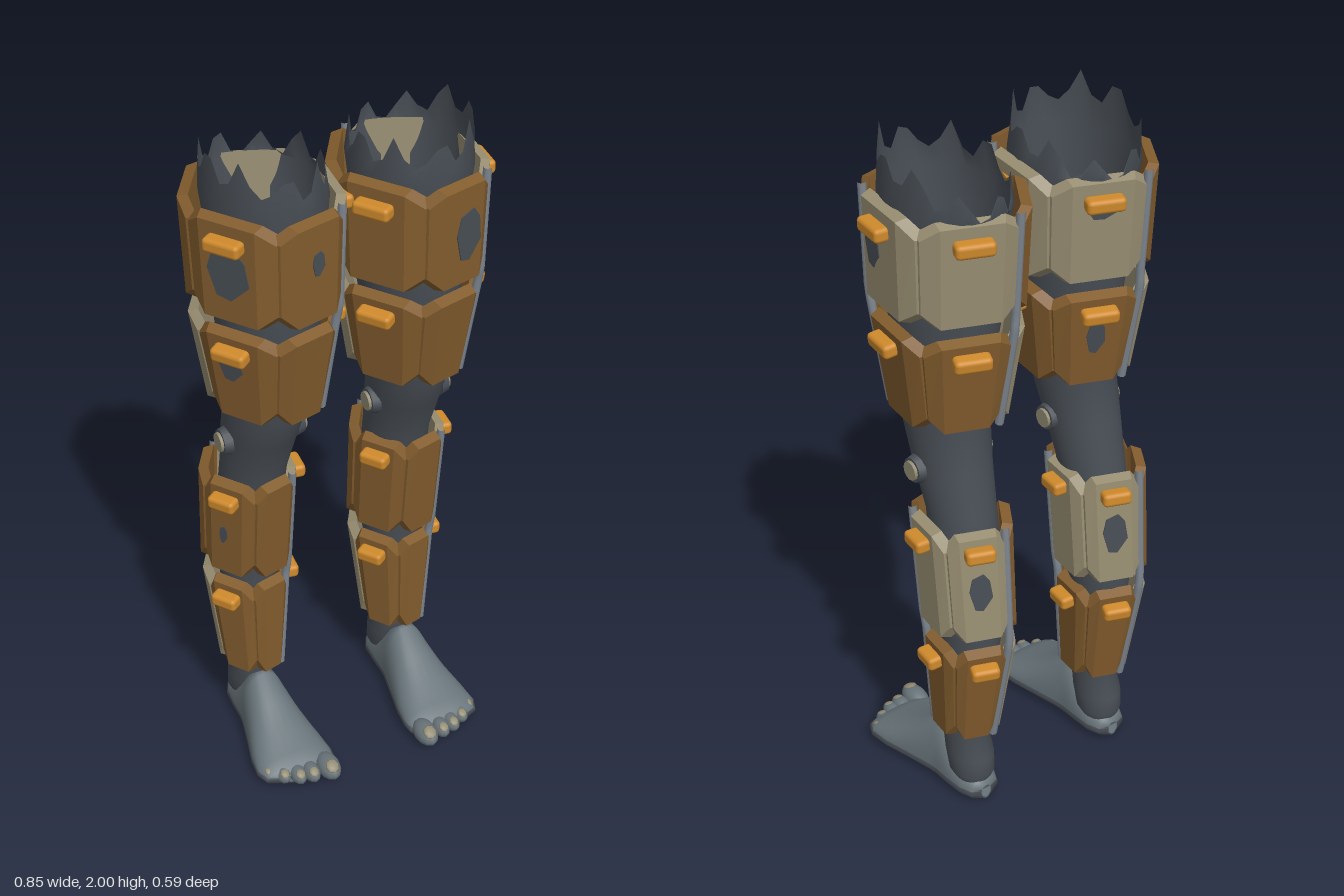
import * as THREE from 'three';
import { RoundedBoxGeometry } from 'three/addons/geometries/RoundedBoxGeometry.js';

const V = (x, y, z) => new THREE.Vector3(x, y, z);

// Armour outline: five corners (x, z) around a leg, and the four rings of plates.
const corners = [[0.19, -0.135], [0.155, 0.185], [-0.07, 0.243], [-0.237, 0.0], [-0.09, -0.24]];
const panelNames = ['RightPanel', 'FrontPanel', 'FrontLeftPanel', 'BackLeftPanel', 'BackPanel'];
const rings = [
  { name: 'upperThigh', y: [1.55, 1.85], x: 0.205, z: [-0.015, -0.02], s: [0.96, 1.01], clipY: 1.79, pale: [0, 4] },
  { name: 'lowerThigh', y: [1.22, 1.51], x: 0.207, z: [-0.02, -0.02], s: [0.73, 0.94], clipY: 1.46, pale: [3] },
  { name: 'upperCalf', y: [0.6, 0.94], x: 0.2325, z: [-0.14, -0.11], s: [0.6, 0.63], clipY: 0.89, pale: [0, 4] },
  { name: 'lowerCalf', y: [0.22, 0.56], x: 0.2325, z: [-0.12, -0.145], s: [0.42, 0.58], clipY: 0.51, pale: [3] },
];
// Worn spots: side, ring, panel, centre u, v, size u, v
const worn = [
  [1, 0, 1, 0.57, 0.5, 0.26, 0.36], [1, 0, 0, 0.38, 0.58, 0.16, 0.3], [-1, 0, 2, 0.5, 0.5, 0.3, 0.36],
  [-1, 0, 1, 0.5, 0.6, 0.12, 0.17], [-1, 0, 4, 0.5, 0.72, 0.2, 0.13], [-1, 1, 2, 0.45, 0.65, 0.2, 0.25],
  [-1, 1, 4, 0.5, 0.55, 0.15, 0.25], [1, 2, 4, 0.5, 0.48, 0.25, 0.24], [-1, 2, 4, 0.5, 0.48, 0.28, 0.26],
  [-1, 2, 2, 0.45, 0.45, 0.1, 0.13],
];
const octagon = [[0.2, 0], [0.8, 0], [0.97, 0.13], [0.97, 0.87], [0.8, 1], [0.2, 1], [0.03, 0.87], [0.03, 0.13]];
const blot = [[-0.6, -0.9], [0.1, -1], [0.45, -0.6], [1, -0.3], [0.8, 0.6], [0.3, 1], [-0.7, 0.8], [-1, 0.1]];

// Flat-shaded plate between two eight-point loops, each faced with three strips so it can bend
function plate(back, front) {
  const pos = [];
  const quad = (a, b, c, d) => [a, b, c, a, c, d].forEach(v => pos.push(v.x, v.y, v.z));
  for (let i = 0; i < 8; i++) {
    const j = (i + 1) % 8;
    quad(back[i], back[j], front[j], front[i]);
  }
  for (const [a, b, c, d] of [[0, 1, 4, 5], [1, 2, 3, 4], [5, 6, 7, 0]]) {
    quad(front[a], front[b], front[c], front[d]);
    quad(back[d], back[c], back[b], back[a]);
  }
  const g = new THREE.BufferGeometry();
  g.setAttribute('position', new THREE.Float32BufferAttribute(pos, 3));
  g.computeVertexNormals();
  return g;
}

// Smooth surface through closed loops of n points
function loft(loops) {
  const n = loops[0].length, pos = [], idx = [];
  loops.forEach(l => l.forEach(p => pos.push(p.x, p.y, p.z)));
  for (let r = 0; r < loops.length - 1; r++) for (let i = 0; i < n; i++) {
    const a = r * n + i, b = r * n + (i + 1) % n;
    idx.push(a, a + n, b, b, a + n, b + n);
  }
  const g = new THREE.BufferGeometry();
  g.setAttribute('position', new THREE.Float32BufferAttribute(pos, 3));
  g.setIndex(idx);
  g.computeVertexNormals();
  return g;
}

export function createModel() {
  const make = (name, color, side = THREE.FrontSide) => {
    const m = new THREE.MeshStandardMaterial({ color, side });
    m.name = name;
    return m;
  };
  const mat = {
    brown: make('brownPlate', 0x835d2e), pale: make('palePlate', 0x988e72), orange: make('orangeClip', 0xcf8a2c),
    dark: make('darkSkin', 0x484e55, THREE.DoubleSide), foot: make('greySkin', 0x68747a, THREE.DoubleSide),
    steel: make('steelRod', 0x7d858e), nail: make('nail', 0x918a72),
  };
  const model = new THREE.Group();
  const add = (parent, name, geo, m) => {
    const mesh = new THREE.Mesh(geo, m);
    mesh.name = name;
    parent.add(mesh);
    return mesh;
  };

  // Ring corner k at height fraction v, optionally drawn in towards the leg
  const corner = (ring, side, k, v, pull = 1) => {
    const mix = a => a[0] + (a[1] - a[0]) * v, s = mix(ring.s) * pull, c = corners[k % 5];
    return V(side * ring.x + c[0] * s, mix(ring.y), mix(ring.z) + c[1] * s);
  };

  function armour(side) {
    const group = new THREE.Group();
    group.name = side > 0 ? 'leftArmour' : 'rightArmour';
    rings.forEach((ring, r) => {
      for (let k = 0; k < 5; k++) {
        const at = (u, v) => corner(ring, side, k + 1, v).lerp(corner(ring, side, k, v), u);
        const across = at(1, 0.5).sub(at(0, 0.5)).normalize();
        const up = at(0.5, 1).sub(at(0.5, 0)).normalize();
        const out = across.clone().cross(up).normalize();
        // The sides of each plate bend in around the leg
        const bend = u => 0.034 * ring.s[1] * Math.max(0, Math.abs(u - 0.5) - 0.28) / 0.2;
        const place = (pts, d) => pts.map(([u, v]) => at(u, v).addScaledVector(out, d - bend(u)));
        const inner = octagon.map(([u, v]) => [0.5 + (u - 0.5) * 0.92, 0.5 + (v - 0.5) * 0.94]);
        add(group, ring.name + panelNames[k], plate(place(octagon, -0.018), place(inner, 0.009)),
          ring.pale.includes(k) ? mat.pale : mat.brown);
        // Worn spots
        worn.filter(w => w[0] === side && w[1] === r && w[2] === k).forEach(([, , , u, v, du, dv]) => {
          const pts = blot.map(p => [u + p[0] * du * 0.7, v + p[1] * dv * 0.7]);
          add(group, 'wornSpot', plate(place(pts, 0.006), place(pts, 0.012)), mat.dark);
        });
        // Clips on three of the five plates
        if (k === 0 || k === 2 || k === 4) {
          const v = (ring.clipY - ring.y[0]) / (ring.y[1] - ring.y[0]);
          const clip = add(group, 'clip', new RoundedBoxGeometry(0.045 + 0.06 * ring.s[1], 0.04, 0.045, 2, 0.012), mat.orange);
          clip.position.copy(at(0.5, v).addScaledVector(out, 0.024));
          clip.quaternion.setFromRotationMatrix(new THREE.Matrix4().makeBasis(across, out.clone().cross(across), out));
        }
      }
    });
    // Rods running down two opposite seams
    for (const k of [1, 4]) for (const r of [0, 2]) {
      const pts = [[r, 1], [r, 0], [r + 1, 1], [r + 1, 0]].map(([i, v]) => corner(rings[i], side, k, v, 0.88));
      const path = new THREE.CurvePath();
      for (let i = 0; i < 3; i++) path.add(new THREE.LineCurve3(pts[i], pts[i + 1]));
      add(group, 'seamRod', new THREE.TubeGeometry(path, 24, 0.012, 8), mat.steel);
    }
    return group;
  }

  // Leg profile: y, x, z, half width, half depth
  const legRows = [
    [0.055, 0.235, -0.165, 0.05, 0.05], [0.085, 0.235, -0.155, 0.064, 0.069], [0.14, 0.235, -0.145, 0.065, 0.078],
    [0.22, 0.235, -0.125, 0.06, 0.075], [0.4, 0.235, -0.14, 0.066, 0.08], [0.56, 0.23, -0.145, 0.085, 0.095],
    [0.75, 0.227, -0.135, 0.093, 0.103], [0.95, 0.222, -0.1, 0.092, 0.105], [1.08, 0.22, -0.06, 0.104, 0.115],
    [1.2, 0.215, -0.025, 0.11, 0.135], [1.4, 0.21, -0.015, 0.128, 0.15], [1.55, 0.205, -0.015, 0.146, 0.172],
    [1.75, 0.205, -0.02, 0.152, 0.178], [1.84, 0.206, -0.024, 0.16, 0.198],
  ];
  // Foot profile: z, x, half width, height
  const footRows = [
    [-0.225, 0.235, 0.015, 0.05], [-0.215, 0.235, 0.045, 0.07], [-0.18, 0.235, 0.062, 0.085], [-0.12, 0.236, 0.066, 0.13],
    [-0.07, 0.236, 0.067, 0.2], [-0.04, 0.237, 0.071, 0.2], [0.04, 0.238, 0.09, 0.145], [0.12, 0.24, 0.11, 0.1],
    [0.18, 0.24, 0.117, 0.075], [0.215, 0.235, 0.108, 0.058], [0.23, 0.225, 0.07, 0.04],
  ];

  function limb(side) {
    const group = new THREE.Group();
    group.name = side > 0 ? 'leftLeg' : 'rightLeg';
    const N = 36;
    const ring = fn => Array.from({ length: N }, (_, i) => fn(i / N * Math.PI * 2, i));
    // Leg, open at the top with a torn edge that drops at the back
    const loops = legRows.map(([y, x, z, w, d]) => ring(t => V(side * x + w * Math.cos(t), y, z + d * Math.sin(t))));
    loops.push(ring((t, i) => {
      const tooth = [0, 0.055, 0.09, 0.02][i % 4] * (0.75 + 0.25 * Math.sin(i * 2.3));
      const y = 1.9 + tooth + 0.02 * side * Math.cos(t) - 0.06 * Math.max(0, -Math.sin(t));
      return V(side * 0.21 + 0.15 * Math.cos(t), Math.min(2, y), -0.025 + 0.195 * Math.sin(t));
    }));
    add(group, 'leg', loft(loops), mat.dark);
    // Knee studs: dark collar and lighter cap
    for (const s of [-1, 1]) [[0.042, 0.024, 0.108, mat.dark], [0.032, 0.03, 0.113, mat.nail]].forEach(([r, h, d, m]) => {
      const stud = add(group, 'kneeStud', new THREE.CylinderGeometry(r * 0.85, r, h, 12), m);
      stud.rotation.z = -s * Math.PI / 2;
      stud.position.set(side * 0.222 + s * d, 1.08, -0.045);
    });
    // Foot: domed sections
    const section = (floor, top, grow) => loft(footRows.map(([z, x, w, h]) => ring(t => {
      const s = Math.sin(t), c = Math.cos(t);
      const y = s > 0 ? 0.03 + (h - 0.03) * Math.pow(s, 0.9) : 0.03 + (0.03 - floor) * s;
      return V(side * x - (w + grow) * Math.sign(c) * Math.pow(Math.abs(c), 0.85), Math.min(y, top), z);
    })));
    add(group, 'foot', section(0.008, 1, 0), mat.foot);
    // Dark sole, rising a little around the rim
    add(group, 'sole', section(0.003, 0.042, 0.002), mat.dark);
    // Toes and nails, the big toe on the inside
    for (let i = 0; i < 5; i++) {
      const big = i === 0, r = big ? 0.034 : 0.026 - i * 0.001;
      const x = side * [0.16, 0.213, 0.252, 0.292, 0.328][i], z = [0.24, 0.236, 0.228, 0.207, 0.178][i];
      const toe = add(group, 'toe', new THREE.SphereGeometry(r, 12, 8), mat.foot);
      toe.scale.set(1, big ? 0.95 : 1.05, 1.6);
      toe.position.set(x, big ? 0.038 : 0.034, z);
      const nail = add(group, 'toenail', new THREE.SphereGeometry(r * 0.6, 8, 6), mat.nail);
      nail.scale.set(1, 0.4, 1.1);
      nail.position.set(x, toe.position.y + r * 0.68, z + r * 0.85);
      nail.rotation.x = 0.5;
    }
    return group;
  }

  for (const side of [-1, 1]) model.add(limb(side), armour(side));
  return model;
}
